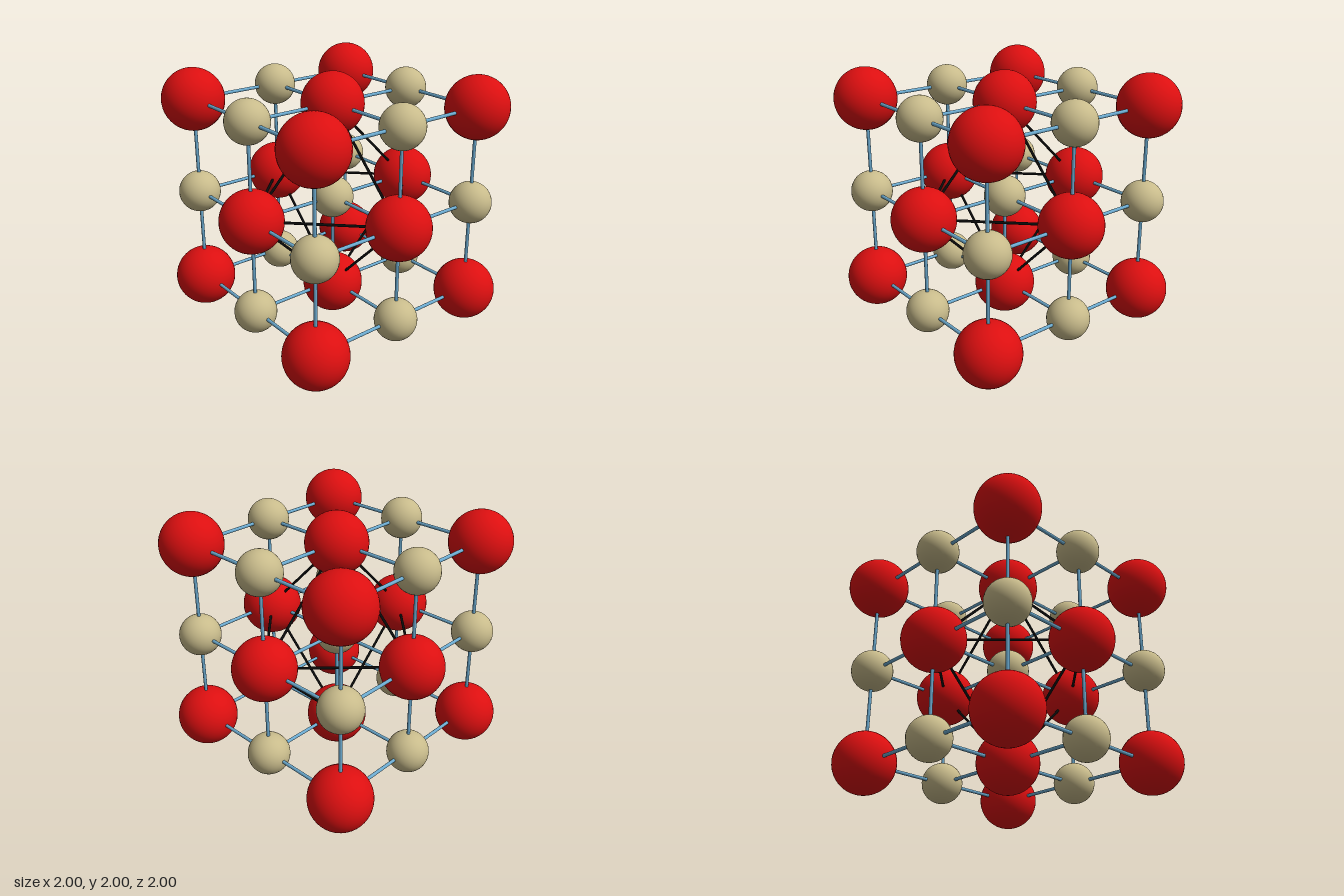
import * as THREE from 'three';

const SPACING = 0.758;   // distance between neighbouring atoms
const LARGE = 0.242, SMALL = 0.165, BOND = 0.0135, EDGE = 0.0105;

const mat = (name, color) => {
  const m = new THREE.MeshStandardMaterial({ color });
  m.name = name;
  return m;
};

export function createModel() {
  const red = mat('red', 0xdc0f10);
  const tan = mat('tan', 0xc8bb8b);
  const blue = mat('blue', 0x6cabd0);
  const black = mat('black', 0x0a0a0a);

  const model = new THREE.Group();
  model.name = 'crystalLattice';
  const lattice = new THREE.Group();
  lattice.name = 'lattice';
  lattice.position.y = 1;
  model.add(lattice);

  const largeGeo = new THREE.SphereGeometry(LARGE, 40, 28);
  const smallGeo = new THREE.SphereGeometry(SMALL, 32, 24);
  const steps = [-1, 0, 1];
  const at = (x, y, z) => new THREE.Vector3(x, y, z).multiplyScalar(SPACING);

  // Straight rod between two points
  const rod = (name, a, b, radius, material) => {
    const dir = b.clone().sub(a);
    const mesh = new THREE.Mesh(new THREE.CylinderGeometry(radius, radius, dir.length(), 12), material);
    mesh.name = name;
    mesh.position.copy(a).add(b).multiplyScalar(0.5);
    mesh.quaternion.setFromUnitVectors(new THREE.Vector3(0, 1, 0), dir.normalize());
    lattice.add(mesh);
  };

  // Atoms alternate between large and small
  for (const x of steps) for (const y of steps) for (const z of steps) {
    const isLarge = (Math.abs(x) + Math.abs(y) + Math.abs(z)) % 2 === 1;
    const atom = new THREE.Mesh(isLarge ? largeGeo : smallGeo, isLarge ? red : tan);
    atom.name = isLarge ? 'largeAtom' : 'smallAtom';
    atom.position.copy(at(x, y, z));
    lattice.add(atom);
  }

  // Bonds: one rod through each row of atoms, along all three axes
  for (const u of steps) for (const v of steps) {
    rod('bondX', at(-1, u, v), at(1, u, v), BOND, blue);
    rod('bondY', at(u, -1, v), at(u, 1, v), BOND, blue);
    rod('bondZ', at(u, v, -1), at(u, v, 1), BOND, blue);
  }

  // Octahedron edges joining the face-centre atoms
  for (const s of [-1, 1]) for (const t of [-1, 1]) {
    rod('octahedronEdge', at(s, 0, 0), at(0, t, 0), EDGE, black);
    rod('octahedronEdge', at(0, s, 0), at(0, 0, t), EDGE, black);
    rod('octahedronEdge', at(0, 0, s), at(t, 0, 0), EDGE, black);
  }

  return model;
}
